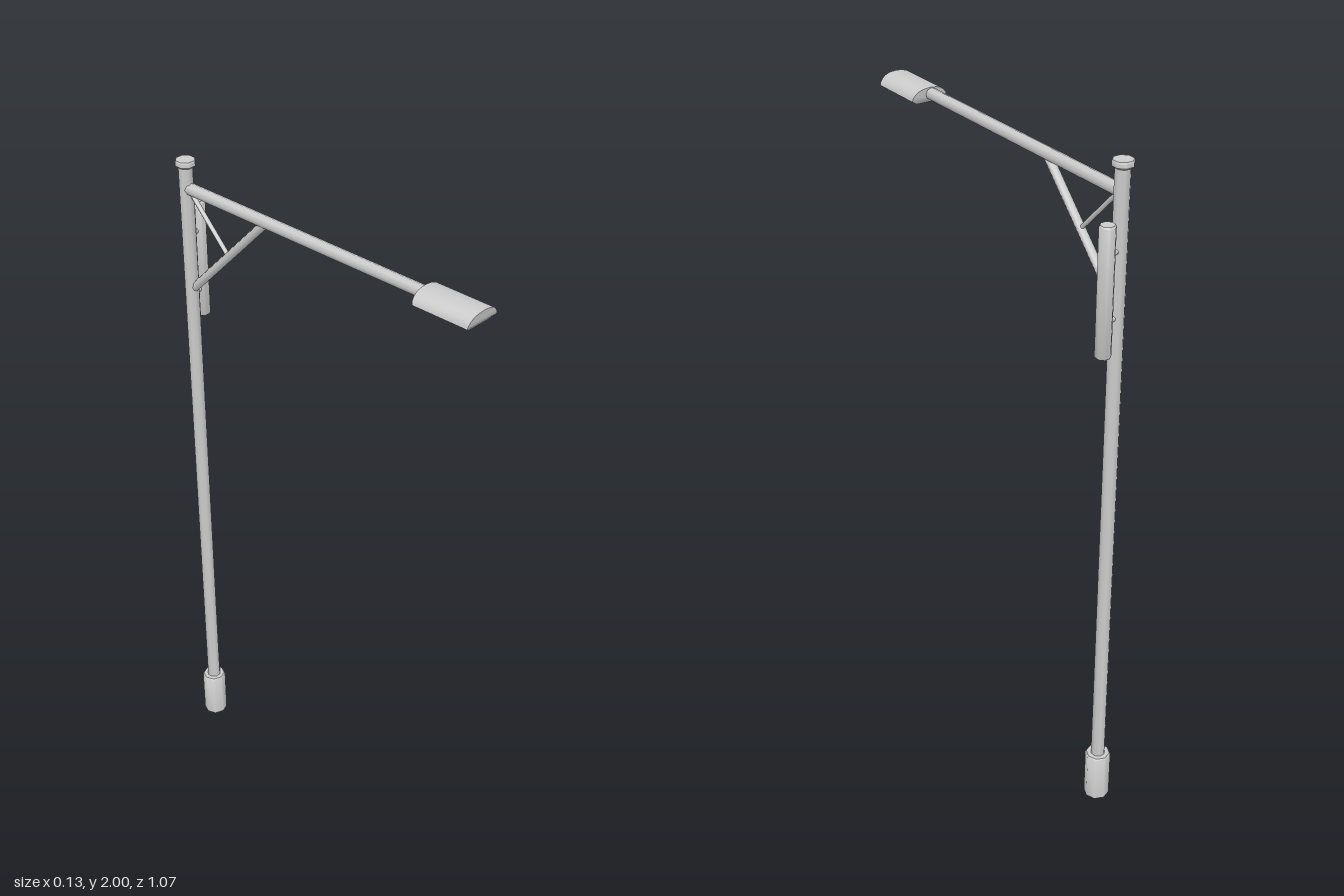
import * as THREE from 'three';
import { toCreasedNormals } from 'three/addons/utils/BufferGeometryUtils.js';

const SIDES = 8;
const POLE = { x: -0.016, z: -0.489 };
const material = new THREE.MeshStandardMaterial({ color: 0xcccccc });

function part(group, name, geometry) {
  const mesh = new THREE.Mesh(geometry, material);
  mesh.name = name;
  group.add(mesh);
  return mesh;
}

// Closed round bar between two points
function bar(group, name, from, to, radius) {
  const a = new THREE.Vector3(...from), b = new THREE.Vector3(...to);
  const dir = b.clone().sub(a);
  const mesh = part(group, name, new THREE.CylinderGeometry(radius, radius, dir.length(), SIDES));
  mesh.position.copy(a).add(b).multiplyScalar(0.5);
  mesh.quaternion.setFromUnitVectors(new THREE.Vector3(0, 1, 0), dir.normalize());
  return mesh;
}

// Upright turned part from [radius, y] points, with crisp rims
function turned(group, name, points, x, z, turn = Math.PI / 8) {
  const lathe = new THREE.LatheGeometry(points.map(p => new THREE.Vector2(...p)), SIDES);
  const mesh = part(group, name, toCreasedNormals(lathe, 0.85));
  mesh.position.set(x, 0, z);
  mesh.rotation.y = turn;
  return mesh;
}

// Lamp head: rectangular rings [half width, half length, y] stacked upward
function lampGeometry(levels) {
  const positions = [], index = [];
  for (const [w, l, y] of levels) positions.push(-w, y, l, w, y, l, w, y, -l, -w, y, -l);
  for (let i = 0; i < levels.length - 1; i++) {
    for (let j = 0; j < 4; j++) {
      const a = i * 4 + j, b = i * 4 + (j + 1) % 4;
      index.push(a, b, b + 4, a, b + 4, a + 4);
    }
  }
  const geometry = new THREE.BufferGeometry();
  geometry.setAttribute('position', new THREE.Float32BufferAttribute(positions, 3));
  geometry.setIndex(index);
  return toCreasedNormals(geometry, 0.6);
}

export function createModel() {
  const group = new THREE.Group();
  group.name = 'streetLight';
  const { x, z } = POLE;

  // Base sleeve, pole and top collar
  turned(group, 'base', [[0, 0], [0.037, 0], [0.037, 0.15], [0.034, 0.154], [0, 0.154]], x, z, 0);
  turned(group, 'pole', [[0.021, 0.15], [0.021, 1.99]], x, z);
  turned(group, 'poleCap', [[0.02, 1.978], [0.029, 1.985], [0.029, 1.996], [0.027, 2], [0, 2]], x, z);

  // Horizontal arm with its diagonal brace and strut
  bar(group, 'arm', [x, 1.919, z], [x, 1.919, 0.375], 0.0172);
  bar(group, 'brace', [x, 1.912, -0.19], [x, 1.61, -0.489], 0.0125);
  bar(group, 'strut', [x, 1.909, -0.472], [x, 1.768, -0.333], 0.0065);

  // Domed lamp head with a tapered underside and a recessed panel
  const lamp = part(group, 'lampHead', lampGeometry([
    [0, 0, 1.899],
    [0.026, 0.064, 1.899],
    [0.029, 0.067, 1.892],
    [0.035, 0.075, 1.892],
    [0.055, 0.085, 1.905],
    [0.053, 0.087, 1.914],
    [0.046, 0.088, 1.923],
    [0.036, 0.089, 1.931],
    [0.02, 0.09, 1.936],
    [0, 0.09, 1.938],
  ]));
  lamp.position.set(-0.011, 0, 0.445);

  // Side canister on two brackets
  const side = { x: 0.043, z: -0.514 };
  turned(group, 'sideCanister',
    [[0, 1.503], [0.019, 1.503], [0.0222, 1.508], [0.0222, 1.852], [0.019, 1.857], [0, 1.857]],
    side.x, side.z);
  for (const y of [1.59, 1.77]) {
    bar(group, 'bracket', [x, y, z], [side.x, y, side.z], 0.0075);
  }

  return group;
}
